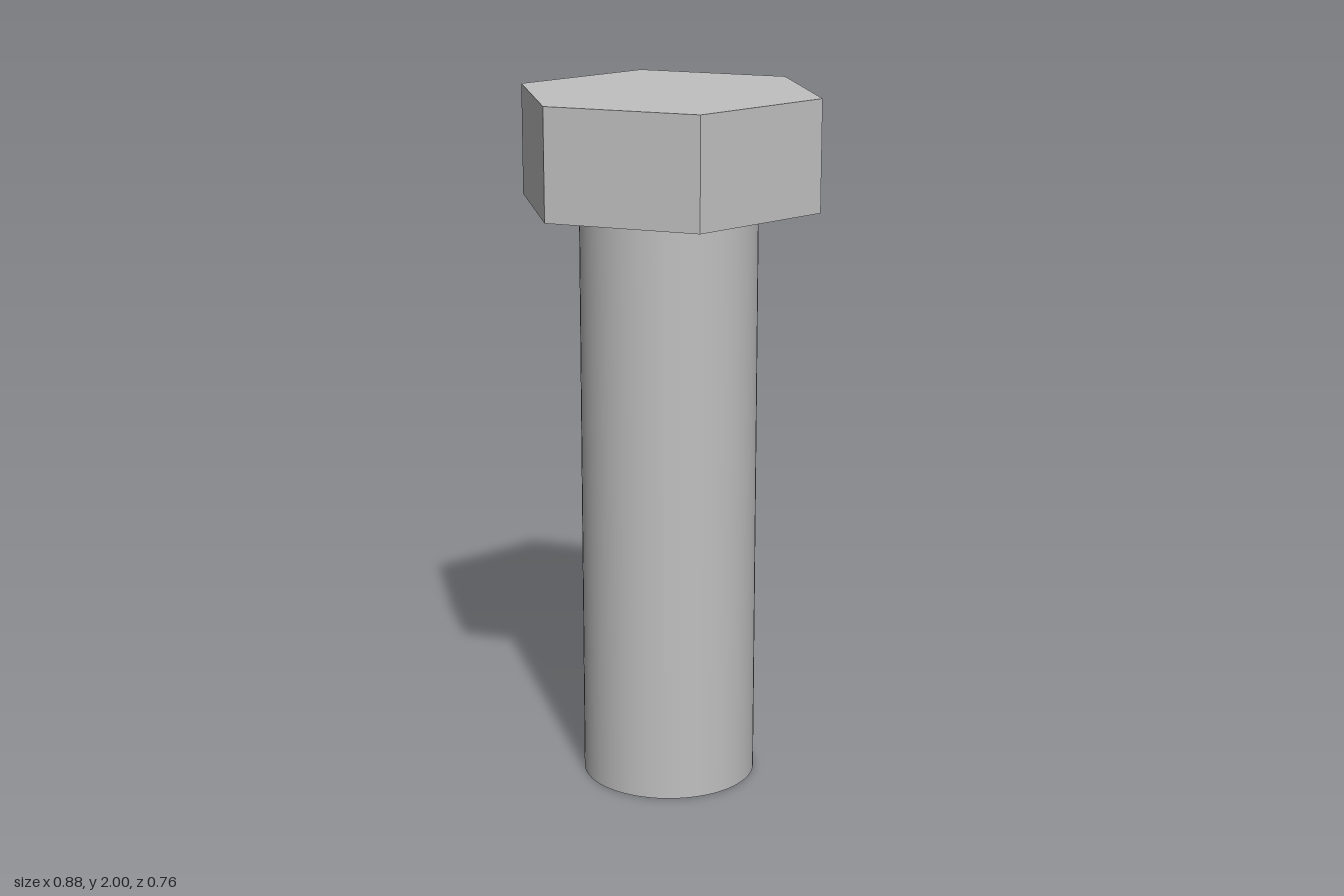
import * as THREE from 'three';

const HEIGHT = 2;
const HEAD_HEIGHT = 0.3125;
const HEAD_RADIUS = 0.4375; // centre to corner
const SHANK_RADIUS = 0.25;

export function createModel() {
  const group = new THREE.Group();
  group.name = 'hexBolt';

  const steel = new THREE.MeshStandardMaterial({ color: 0xc0c0c0 });
  steel.name = 'steel grey';
  const flatSteel = steel;

  // Smooth round shank, standing on the ground
  const shankLength = HEIGHT - HEAD_HEIGHT;
  const shank = new THREE.Mesh(
    new THREE.CylinderGeometry(SHANK_RADIUS, SHANK_RADIUS, shankLength, 64), steel);
  shank.name = 'shank';
  shank.position.y = shankLength / 2;
  group.add(shank);

  // Hexagonal head with corners on the x axis; own normals per face keep the edges crisp
  const headGeometry = new THREE.CylinderGeometry(
    HEAD_RADIUS, HEAD_RADIUS, HEAD_HEIGHT, 6, 1, false, Math.PI / 2).toNonIndexed();
  headGeometry.computeVertexNormals();
  const head = new THREE.Mesh(headGeometry, flatSteel);
  head.name = 'hexHead';
  head.position.y = HEIGHT - HEAD_HEIGHT / 2;
  group.add(head);

  return group;
}
